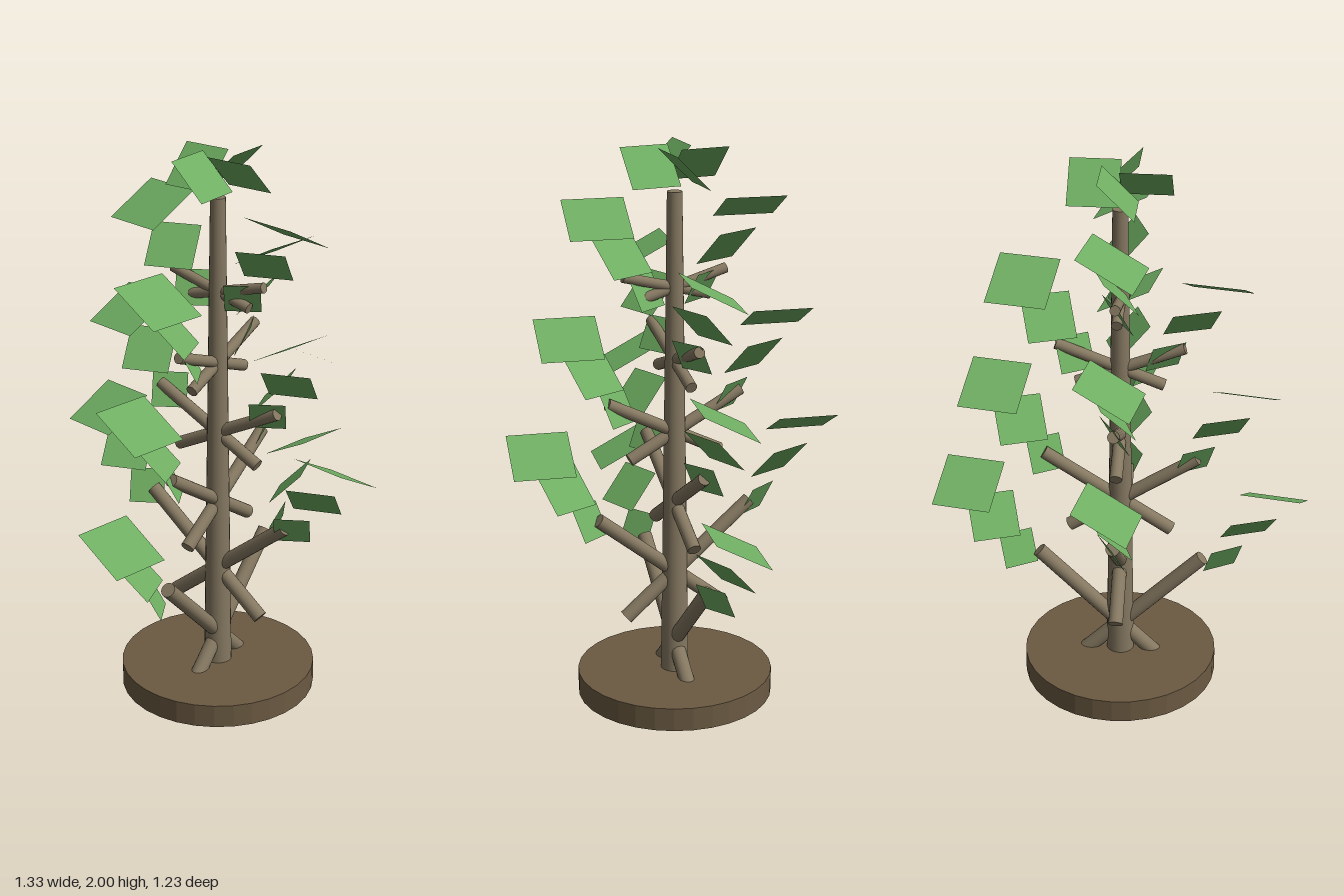
import * as THREE from 'three';

const rad = THREE.MathUtils.degToRad;
const bark = new THREE.MeshStandardMaterial({ color: 0x857861 });
const soil = new THREE.MeshStandardMaterial({ color: 0x6b5a42, flatShading: true });
const leafGreen = new THREE.MeshStandardMaterial({ color: 0x6fae62, side: THREE.DoubleSide });

function add(parent, name, geometry, material, x, y, z = 0) {
  const mesh = new THREE.Mesh(geometry, material);
  mesh.name = name;
  mesh.position.set(x, y, z);
  parent.add(mesh);
  return mesh;
}

// Square leaf, tilted about its own radial edge and then turned about y
function addLeaf(parent, size, x, y, turn, tilt) {
  const geometry = new THREE.PlaneGeometry(size, size).rotateX(-Math.PI / 2);
  const leaf = add(parent, 'leaf', geometry, leafGreen, x, y);
  leaf.rotation.set(-rad(tilt), -rad(turn), 0, 'YXZ');
}

function addSide(parent, name, turn) {
  const side = new THREE.Group();
  side.name = name;
  side.rotation.y = turn;
  parent.add(side);
  return side;
}

export function createModel() {
  const model = new THREE.Group();
  model.name = 'tree';

  // Round base
  add(model, 'base', new THREE.CylinderGeometry(0.35, 0.35, 0.085, 32), soil, 0, 0.0575);

  // Trunk of stacked tapering segments
  for (let i = 0; i < 7; i++) {
    const r = 0.05 - i * 0.0034;
    add(model, 'trunkSegment', new THREE.CylinderGeometry(r - 0.0034, r, 0.25, 20), bark, 0, 0.225 + i * 0.25);
  }

  // Six tiers of crossed branches, alternately along x and z
  for (let i = 0; i < 6; i++) {
    const start = i % 2 ? -Math.PI / 2 : 0;
    for (const turn of [start, start + Math.PI]) {
      const side = addSide(model, 'branchWithLeaves', turn);
      const r = 0.028 - i * 0.0018;
      const branch = add(side, 'branch', new THREE.CylinderGeometry(r * 0.95, r, 0.68 - i * 0.07, 16), bark,
        0.055 - i * 0.005, 0.262 + i * 0.253);
      branch.rotation.z = rad(45 - 6 * i - 90);

      // Three leaves growing larger and flatter outward
      const x = 0.37 - i * 0.0535, y = 0.505 + i * 0.2015;
      addLeaf(side, 0.125, x, y, -30, 62);
      addLeaf(side, 0.17, x + 0.088, y + 0.133, -20, 46);
      addLeaf(side, 0.214, x + 0.175, y + 0.265, 9.6, 28);
    }
  }

  // Crown of four leaves
  for (let k = 0; k < 4; k++) {
    addLeaf(addSide(model, 'crownLeaf', k * Math.PI / 2), 0.172, 0.087, 1.939, 0, 45);
  }
  return model;
}
